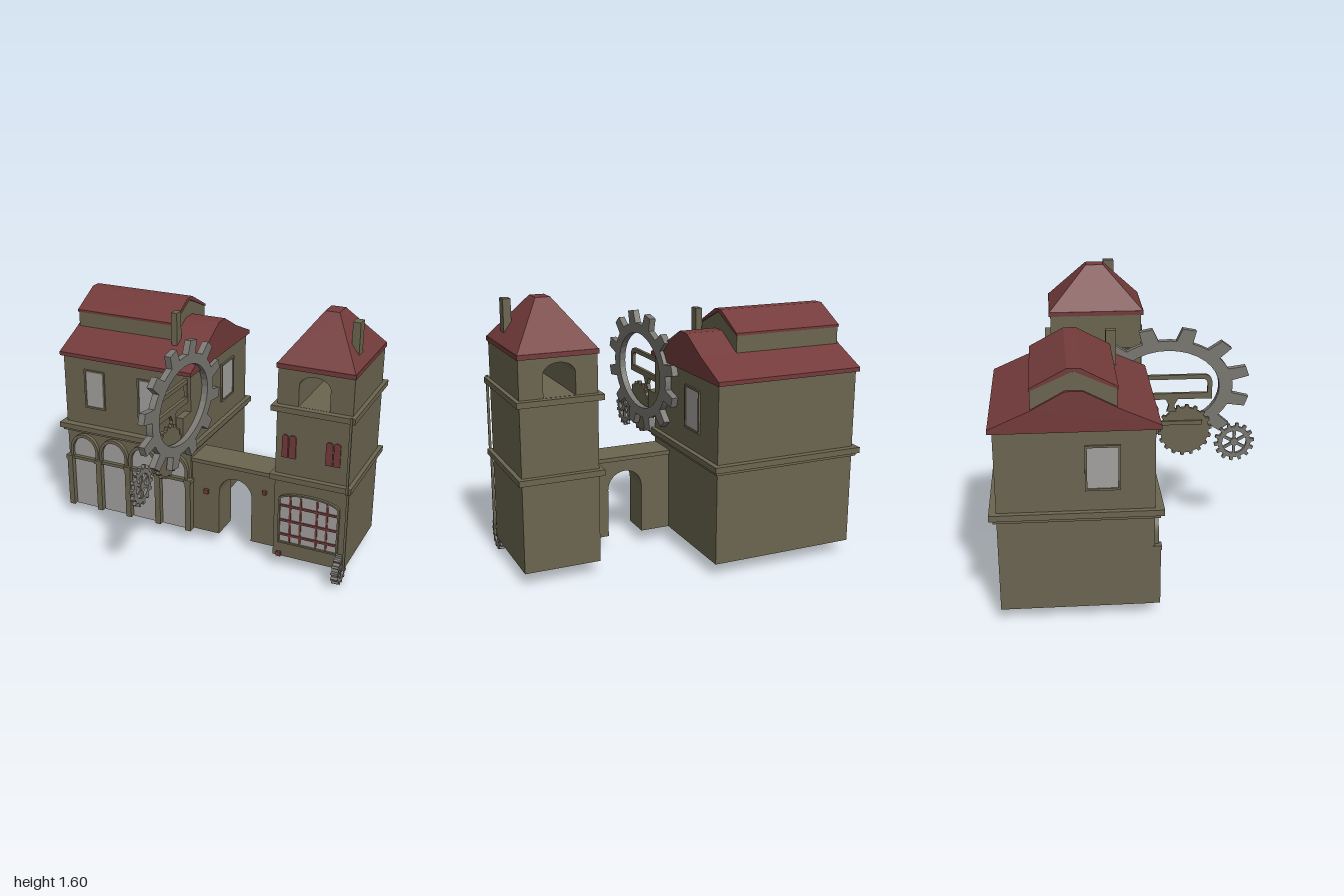
import * as THREE from 'three';

const mat = (name, color, side = THREE.FrontSide) => {
  const m = new THREE.MeshStandardMaterial({ color, side });
  m.name = name;
  return m;
};

export function createModel() {
  const stone = mat('olive stone', 0x6b6550);
  const red = mat('roof red', 0x743b3b);
  const glass = mat('pale glass', 0xa4a2a0);
  const metal = mat('gear metal', 0x7a7872);
  const model = new THREE.Group();
  model.name = 'clockworkBuildings';

  const add = (name, geo, m, parent = model) => {
    const mesh = new THREE.Mesh(geo, m);
    mesh.name = name;
    parent.add(mesh);
    return mesh;
  };
  // box given by its minimum and maximum on each axis
  const box = (name, m, x0, x1, y0, y1, z0, z1, parent) => {
    const g = new THREE.BoxGeometry(x1 - x0, y1 - y0, z1 - z0);
    g.translate((x0 + x1) / 2, (y0 + y1) / 2, (z0 + z1) / 2);
    return add(name, g, m, parent);
  };
  const poly = (pts) => new THREE.Shape(pts.map(([a, b]) => new THREE.Vector2(a, b)));
  // extrude an x,y outline from z0 to z1
  const alongZ = (shape, z0, z1) => {
    const g = new THREE.ExtrudeGeometry(shape, { depth: z1 - z0, bevelEnabled: false, curveSegments: 16 });
    return g.translate(0, 0, z0);
  };
  // extrude a z,y outline from x0 to x1
  const alongX = (shape, x0, x1) => {
    const g = new THREE.ExtrudeGeometry(shape, { depth: x1 - x0, bevelEnabled: false, curveSegments: 16 });
    return g.rotateY(-Math.PI / 2).translate(x1, 0, 0);
  };
  // upright outline with an elliptical head
  const archShape = (x0, x1, y0, spring, top, C = THREE.Shape) => {
    const s = new C();
    s.moveTo(x0, y0);
    s.lineTo(x1, y0);
    s.lineTo(x1, spring);
    s.absellipse((x0 + x1) / 2, spring, (x1 - x0) / 2, top - spring, 0, Math.PI, false, 0);
    s.lineTo(x0, y0);
    return s;
  };

  // ---- main hall ----
  const hall = new THREE.Group();
  hall.name = 'mainHall';
  model.add(hall);
  box('hallBody', stone, -0.97, -0.07, 0.08, 1.15, -0.76, 0.09, hall);
  box('hallBelt', stone, -1, -0.04, 0.645, 0.68, -0.8, 0.14, hall);
  box('hallLowerBelt', stone, -0.985, -0.055, 0.625, 0.645, -0.78, 0.12, hall);
  add('hallRoof', alongX(poly([[-0.785, 1.14], [0.12, 1.14], [0.12, 1.165], [-0.1, 1.265],
    [-0.29, 1.365], [-0.38, 1.365], [-0.56, 1.265], [-0.785, 1.165]]), -0.98, -0.055), red, hall);
  add('clerestoryWalls', alongX(poly([[-0.56, 1.2], [-0.11, 1.2], [-0.11, 1.37],
    [-0.33, 1.47], [-0.56, 1.37]]), -0.965, -0.285), stone, hall);
  add('clerestoryRoof', alongX(poly([[-0.565, 1.365], [-0.335, 1.47], [-0.105, 1.365], [-0.105, 1.38],
    [-0.3, 1.485], [-0.37, 1.485], [-0.565, 1.38]]), -0.97, -0.28), red, hall);
  box('hallChimney', stone, -0.28, -0.24, 1.2, 1.46, -0.13, -0.07, hall);

  // arcade of four glazed arches between columns
  for (let i = 0; i < 4; i++) {
    const c = -0.84 + i * 0.217;
    box('arcadeDoor', glass, c - 0.083, c + 0.083, 0.08, 0.415, 0.088, 0.097, hall);
    add('arcadeFanlight', alongZ(archShape(c - 0.083, c + 0.083, 0.445, 0.49, 0.58), 0.088, 0.097), glass, hall);
    const rim = archShape(c - 0.104, c + 0.104, 0.42, 0.49, 0.605);
    rim.holes.push(archShape(c - 0.085, c + 0.085, 0.44, 0.49, 0.583, THREE.Path));
    add('arcadeArch', alongZ(rim, 0.088, 0.115), stone, hall);
  }
  for (let i = 0; i < 5; i++) {
    const c = -0.9485 + i * 0.217;
    box('arcadeColumn', stone, c - 0.019, c + 0.019, 0.08, 0.42, 0.08, 0.125, hall);
    box('columnCapital', stone, c - 0.024, c + 0.024, 0.42, 0.445, 0.08, 0.13, hall);
  }

  // framed windows, built facing +z and then turned
  const window = (x, y, z, turn, w = 0.145) => {
    const g = new THREE.Group();
    g.name = 'hallWindow';
    const frame = poly([[-w / 2, -0.13], [w / 2, -0.13], [w / 2, 0.13], [-w / 2, 0.13]]);
    const a = w / 2 - 0.012;
    frame.holes.push(new THREE.Path([[-a, -0.118], [a, -0.118], [a, 0.118], [-a, 0.118]]
      .map((p) => new THREE.Vector2(...p))));
    add('windowFrame', alongZ(frame, 0, 0.012), stone, g);
    box('windowPane', glass, -a, a, -0.118, 0.118, 0, 0.005, g);
    g.position.set(x, y, z);
    g.rotation.y = turn;
    hall.add(g);
  };
  window(-0.748, 0.93, 0.09, 0);
  window(-0.365, 0.93, 0.09, 0);
  window(-0.07, 0.93, -0.445, Math.PI / 2, 0.19);
  window(-0.97, 0.93, -0.19, -Math.PI / 2, 0.19);

  // ---- gateway ----
  const gate = poly([[-0.07, 0.08], [0.115, 0.08], [0.115, 0.38]]);
  gate.absellipse(0.225, 0.38, 0.11, 0.11, Math.PI, 0, true, 0);
  [[0.335, 0.08], [0.52, 0.08], [0.52, 0.57], [-0.07, 0.57]].forEach((p) => gate.lineTo(...p));
  add('gateway', alongZ(gate, -0.115, 0.07), stone);
  box('gatewayDeck', stone, -0.07, 0.52, 0.562, 0.587, -0.13, 0.085);
  box('gateLantern', red, 0.015, 0.045, 0.355, 0.385, 0.07, 0.09);
  box('gateLantern', red, 0.41, 0.435, 0.435, 0.46, 0.07, 0.09);

  // ---- tower ----
  const tower = new THREE.Group();
  tower.name = 'tower';
  model.add(tower);
  box('towerBody', stone, 0.515, 0.97, 0.08, 1.07, -0.44, 0.15, tower);
  box('towerBelt', stone, 0.49, 0.995, 0.61, 0.645, -0.475, 0.185, tower);
  box('towerBelt', stone, 0.49, 0.995, 1.053, 1.087, -0.48, 0.19, tower);
  const belfry = poly([[0.515, 1.07], [0.97, 1.07], [0.97, 1.32], [0.515, 1.32]]);
  belfry.holes.push(archShape(0.645, 0.832, 1.088, 1.215, 1.28, THREE.Path));
  add('belfry', alongZ(belfry, -0.44, 0.15), stone, tower);
  box('towerEaves', red, 0.508, 0.977, 1.31, 1.338, -0.45, 0.165, tower);
  // four-sided roof tapering to a small flat top
  const cap = new THREE.CylinderGeometry(0.13, Math.SQRT1_2, 0.265, 4, 1).toNonIndexed();
  cap.rotateY(Math.PI / 4).scale(0.469, 1, 0.615).translate(0.7425, 1.4675, -0.1425);
  cap.computeVertexNormals();
  add('towerRoof', cap, red, tower);
  box('towerChimney', stone, 0.89, 0.936, 1.36, 1.583, -0.075, -0.005, tower);

  // arched shop window with red bars
  add('shopWindow', alongZ(archShape(0.558, 0.918, 0.19, 0.475, 0.52), 0.148, 0.156), glass, tower);
  const surround = archShape(0.547, 0.929, 0.18, 0.48, 0.53);
  surround.holes.push(archShape(0.558, 0.918, 0.19, 0.475, 0.52, THREE.Path));
  add('shopWindowFrame', alongZ(surround, 0.148, 0.168), stone, tower);
  [0.24, 0.337, 0.437].forEach((y) => box('windowBar', red, 0.558, 0.918, y - 0.007, y + 0.007, 0.155, 0.164, tower));
  [0.622, 0.688, 0.79, 0.853].forEach((x) => box('windowBar', red, x - 0.006, x + 0.006, 0.19, 0.505, 0.155, 0.163, tower));
  // red shutters
  [[0.555, 0.592], [0.598, 0.641], [0.824, 0.866], [0.872, 0.912]].forEach(([a, b]) =>
    add('shutter', alongZ(archShape(a, b, 0.755, 0.885, 0.902), 0.148, 0.158), red, tower));
  box('doorLantern', red, 0.54, 0.57, 0.08, 0.11, 0.15, 0.165, tower);
  // drive rods at the corner
  box('upperRod', stone, 0.968, 0.982, 0.61, 1.095, 0.19, 0.2, tower);
  box('lowerRod', stone, 0.968, 0.982, 0.09, 0.61, 0.165, 0.175, tower);

  // ---- gears, turning in the z,y plane ----
  const gearShape = (n, tip, root, inner, phase) => {
    const pts = [];
    const at = (r, k) => pts.push([r * Math.cos(k), r * Math.sin(k)]);
    const step = (Math.PI * 2) / n;
    for (let i = 0; i < n; i++) {
      const k = phase + i * step;
      at(root, k - step * 0.24);
      at(tip, k - step * 0.16);
      at(tip, k + step * 0.16);
      at(root, k + step * 0.24);
      at(root, k + step * 0.41);
      at(root, k + step * 0.59);
    }
    const s = poly(pts);
    if (inner) s.holes.push(new THREE.Path().absarc(0, 0, inner, 0, Math.PI * 2, true));
    return s;
  };
  const gear = (name, m, x0, x1, y, z, shape, sy = 1, sz = 1) => {
    const g = alongX(shape, x0, x1);
    g.scale(1, sy, sz).translate(0, y, z);
    return add(name, g, m);
  };
  const spokedGear = (name, x0, x1, y, z, r) => {
    gear(name, metal, x0, x1, y, z, gearShape(14, r, r * 0.82, r * 0.6, 0.1));
    for (let i = 0; i < 3; i++) {
      const g = new THREE.BoxGeometry((x1 - x0) * 0.7, r * 1.3, r * 0.14);
      g.rotateX((i * Math.PI) / 3).translate((x0 + x1) / 2, y, z);
      add(name + 'Spoke', g, metal);
    }
    const hub = new THREE.CylinderGeometry(r * 0.2, r * 0.2, x1 - x0, 12);
    add(name + 'Hub', hub.rotateZ(Math.PI / 2).translate((x0 + x1) / 2, y, z), metal);
  };
  gear('greatGear', metal, -0.069, -0.03, 1.017, 0.255, gearShape(12, 1, 0.79, 0.63, Math.PI / 12), 0.38, 0.51);
  gear('middleGear', stone, -0.1, -0.078, 0.748, 0.365, gearShape(18, 0.167, 0.15, 0, 0.1));
  spokedGear('smallGear', -0.113, -0.093, 0.663, 0.675, 0.125);
  spokedGear('cornerGear', 0.925, 0.967, 0.098, 0.165, 0.098);

  // bracket carrying the gears
  const loop = poly([[0.08, 0.96], [0.525, 0.96], [0.525, 1.06]]);
  loop.absarc(0.475, 1.065, 0.05, 0, Math.PI / 2, false);
  loop.lineTo(0.08, 1.115);
  const gap = new THREE.Path();
  gap.moveTo(0.1, 0.998);
  gap.lineTo(0.498, 0.998);
  gap.absarc(0.465, 1.055, 0.033, 0, Math.PI / 2, false);
  gap.lineTo(0.1, 1.088);
  loop.holes.push(gap);
  add('bracketLoop', alongX(loop, -0.112, -0.09), stone);
  add('bracketPost', alongX(poly([[0.25, 0.88], [0.31, 0.88], [0.295, 0.92], [0.32, 0.965], [0.24, 0.965], [0.262, 0.92]]),
    -0.112, -0.09), stone);
  box('bracketArm', stone, -0.112, -0.09, 0.79, 0.815, 0.08, 0.47);
  box('bracketPlate', stone, -0.115, -0.07, 0.74, 0.9, 0.085, 0.2);

  return model;
}
